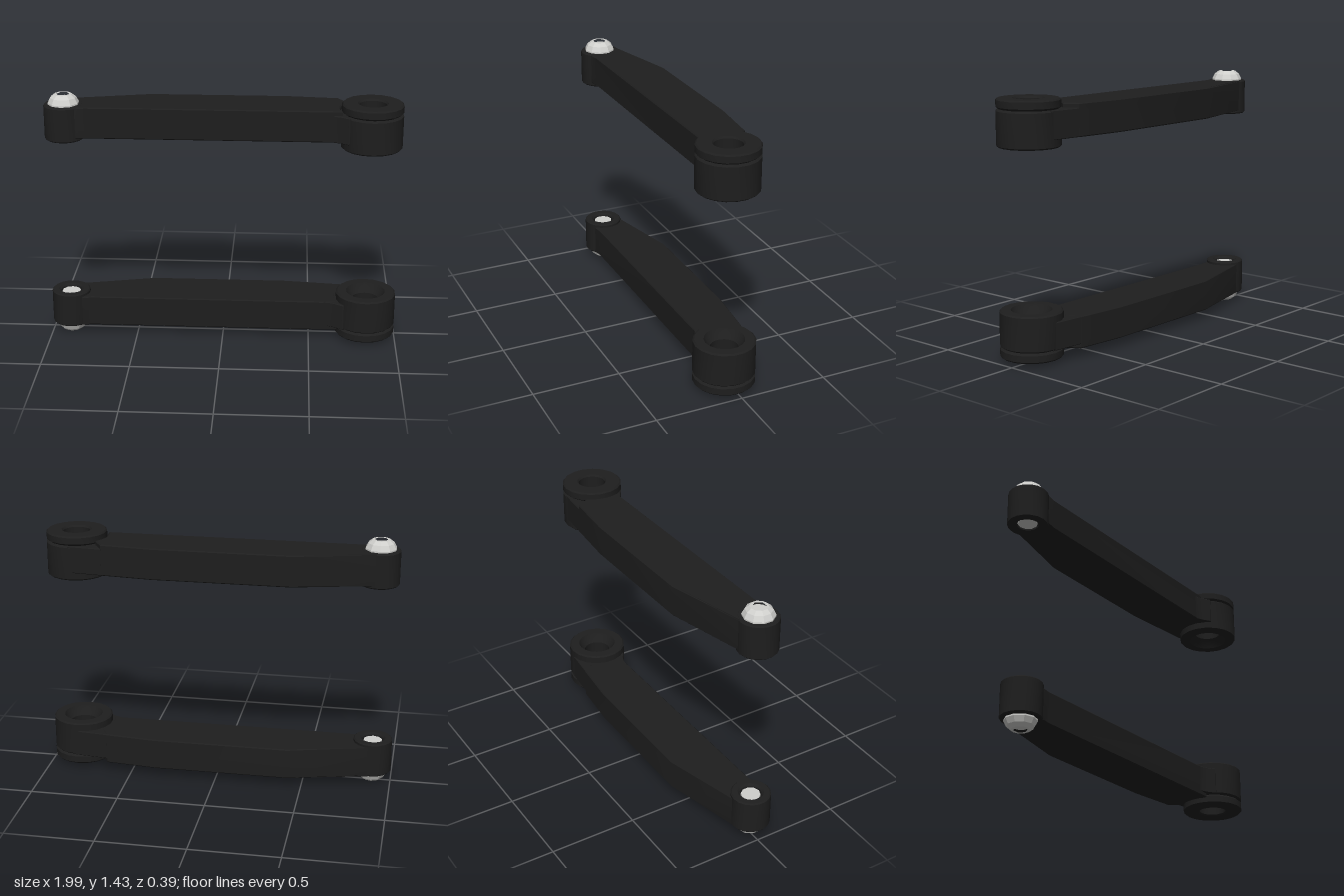
import * as THREE from 'three';
import { toCreasedNormals } from 'three/addons/utils/BufferGeometryUtils.js';

const HEIGHT = 1.435;
const BOLT = { x: -0.89, z: 0.02 };   // centre of the bolt end
const RING = { x: 0.825, z: 0.022 };  // centre of the ring end

// Points on an arc around a centre, in the x/z plane (degrees)
function arc(c, r, from, to, steps) {
  const pts = [];
  for (let i = 0; i <= steps; i++) {
    const a = THREE.MathUtils.degToRad(from + ((to - from) * i) / steps);
    pts.push([c.x + r * Math.cos(a), c.z + r * Math.sin(a)]);
  }
  return pts;
}

// Upright plate from an x/z outline between two heights, with thin bevelled edges
function plate(outline, y0, y1, bevel, hole) {
  const toShape = (pts) => pts.map(([x, z]) => new THREE.Vector2(x, -z));
  const shape = new THREE.Shape(toShape(outline));
  if (hole) shape.holes.push(new THREE.Path(toShape(hole)));
  const geo = new THREE.ExtrudeGeometry(shape, {
    depth: y1 - y0 - 2 * bevel,
    bevelEnabled: bevel > 0,
    bevelThickness: bevel,
    bevelSize: bevel,
    bevelOffset: -bevel,
    bevelSegments: 1,
  });
  return geo.rotateX(-Math.PI / 2).translate(0, y0 + bevel, 0);
}

// Turned part around a vertical axis
function turned(c, profile, sides) {
  const pts = profile.map(([r, y]) => new THREE.Vector2(r, y));
  return new THREE.LatheGeometry(pts, sides).translate(c.x, 0, c.z);
}

// Creased copy of a geometry, optionally reflected top to bottom
function finish(geo, flip, crease) {
  const g = geo.index ? geo.toNonIndexed() : geo.clone();
  g.deleteAttribute('uv');
  g.clearGroups();
  if (flip) {
    g.scale(1, -1, 1).translate(0, HEIGHT, 0);
    const p = g.attributes.position.array;
    for (let i = 0; i < p.length; i += 9) {
      for (let k = 0; k < 3; k++) {
        [p[i + 3 + k], p[i + 6 + k]] = [p[i + 6 + k], p[i + 3 + k]];
      }
    }
  }
  return toCreasedNormals(g, crease);
}

export function createModel() {
  const black = new THREE.MeshStandardMaterial({ color: 0x1e1e1e });
  black.name = 'black';
  const silver = new THREE.MeshStandardMaterial({ color: 0xcfcfcc });
  silver.name = 'silver';

  // Bent bar, hollowed at both ends to receive the boss and the ring
  const bar = plate([
    [-0.76, 0.095], [0.63, 0.095],
    ...arc(RING, 0.18, 157, 220, 5),
    [0.64, -0.167], [0.35, -0.195], [-0.42, -0.195],
    ...arc(BOLT, 0.1, -100, 60, 8),
    [-0.80, 0.102],
  ], 1.2, 1.38, 0.006);

  // Neck that blends the bar into the ring below its cap
  const neck = plate([
    [0.58, 0.094], [0.61, 0.096], [0.65, 0.113], [0.69, 0.139],
    ...arc(RING, 0.15, 135, 274, 8),
    [0.836, -0.147], [0.6, -0.17],
  ], 1.201, 1.355, 0.004);

  // Boss with an open recess underneath
  const boss = turned(BOLT, [
    [0.055, 1.23], [0.06, 1.19], [0.072, 1.18], [0.104, 1.18], [0.111, 1.187],
    [0.111, 1.373], [0.105, 1.38], [0.03, 1.38],
  ], 18);

  // Ring with a grooved cap and a countersunk bore
  const ring = turned(RING, [
    [0.077, 1.4], [0.077, 1.205], [0.098, 1.18], [0.112, 1.155], [0.163, 1.155],
    [0.172, 1.163], [0.172, 1.345], [0.165, 1.352], [0.158, 1.355], [0.165, 1.36],
    [0.172, 1.366], [0.172, 1.402], [0.164, 1.41], [0.085, 1.41], [0.077, 1.4],
  ], 18);

  // Domed bolt head, with a hexagonal socket in its top
  const dome = turned(BOLT, [
    [0.088, 1.375], [0.088, 1.388], [0.073, 1.417], [0.05, HEIGHT],
  ], 10);
  const socketRim = plate(arc(BOLT, 0.05, 90, 414, 9), 1.41, HEIGHT, 0,
    arc(BOLT, 0.037, 0, 300, 5));
  const socketFloor = new THREE.CylinderGeometry(0.05, 0.05, 0.01, 10)
    .translate(BOLT.x, 1.41, BOLT.z);
  const shank = new THREE.CylinderGeometry(0.054, 0.054, 0.18, 10)
    .translate(BOLT.x, 1.285, BOLT.z);

  const parts = [
    ['bar', bar, black, 0.4],
    ['neck', neck, black, 0.5],
    ['boss', boss, black, 0.5],
    ['ring', ring, black, 0.5],
    ['boltHead', dome, silver, 0.2],
    ['boltSocketRim', socketRim, silver, 0.2],
    ['boltSocketFloor', socketFloor, silver, 0.2],
    ['boltShank', shank, silver, 0.2],
  ];

  // Two arms, the lower one a reflection of the upper
  const model = new THREE.Group();
  model.name = 'armPair';
  for (const flip of [false, true]) {
    const arm = new THREE.Group();
    arm.name = flip ? 'lowerArm' : 'upperArm';
    for (const [name, geo, material, crease] of parts) {
      const mesh = new THREE.Mesh(finish(geo, flip, crease), material);
      mesh.name = name;
      arm.add(mesh);
    }
    model.add(arm);
  }
  return model;
}
